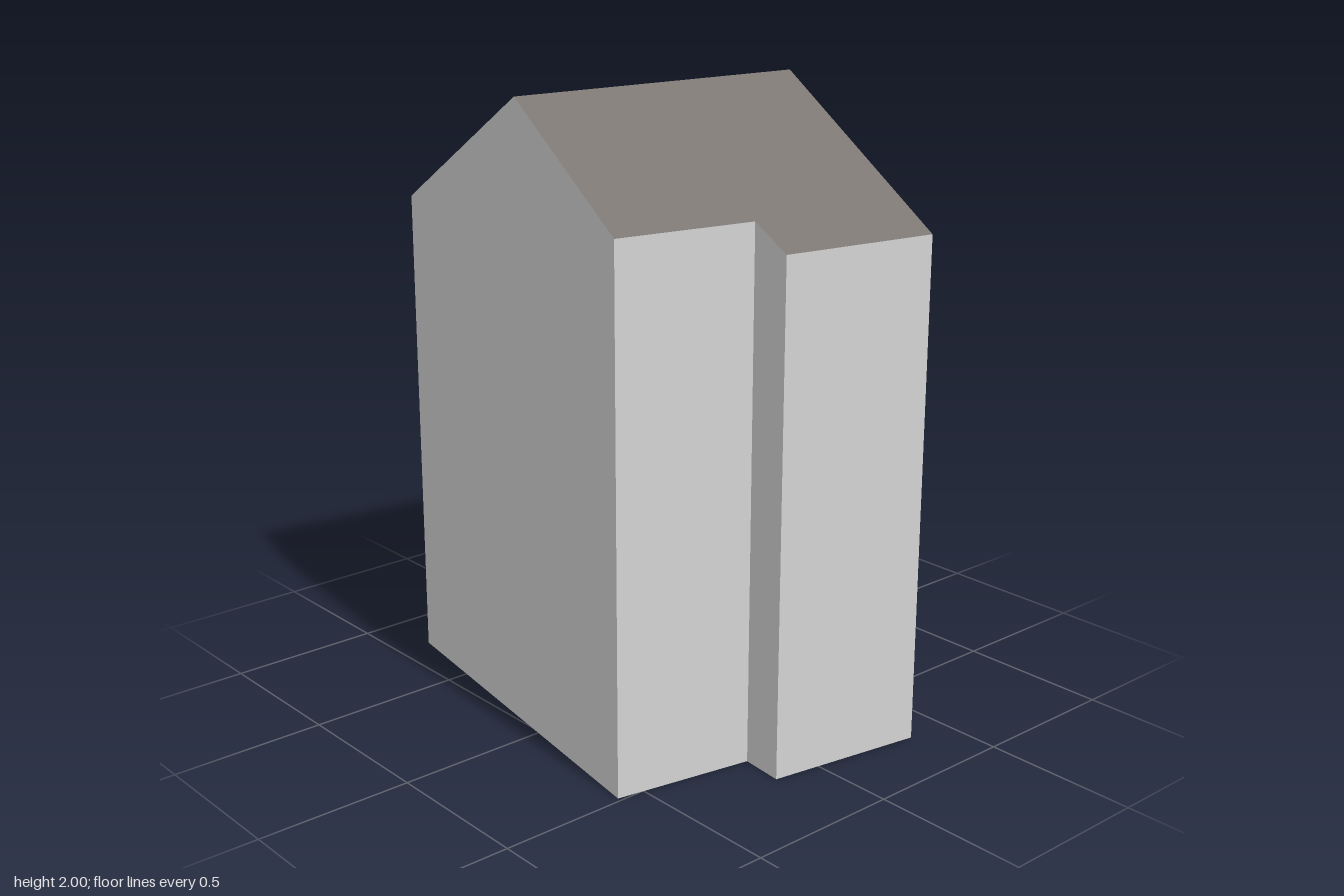
import * as THREE from 'three';

const wallPaint = new THREE.MeshStandardMaterial({ color: 0xd3d3d3 });
const roofBrown = new THREE.MeshStandardMaterial({ color: 0x7d7773 });
wallPaint.name = 'wallPaint';
roofBrown.name = 'roofBrown';

// Flat faces, each a loop of corners fanned from its first point
function facesMesh(name, loops, material) {
  const pos = [];
  for (const loop of loops)
    for (let i = 1; i < loop.length - 1; i++)
      for (const p of [loop[0], loop[i], loop[i + 1]]) pos.push(...p);
  const geo = new THREE.BufferGeometry();
  geo.setAttribute('position', new THREE.Float32BufferAttribute(pos, 3));
  geo.computeVertexNormals();
  const mesh = new THREE.Mesh(geo, material);
  mesh.name = name;
  return mesh;
}

export function createModel() {
  const group = new THREE.Group();
  group.name = 'gabledHouse';

  // Eave corners, anticlockwise from above, with a notch at the front
  const A = [-0.586, 1.675, 0.486], B = [-0.141, 1.675, 0.567];
  const C = [-0.154, 1.605, 0.707], D = [0.354, 1.605, 0.79];
  const E = [0.583, 1.595, -0.64], F = [-0.381, 1.58, -0.793];
  // Ridge ends
  const R1 = [-0.496, 1.988, -0.07], R2 = [0.467, 2, 0.081];
  const ground = (p) => [p[0], 0, p[2]];

  // Walls, with the ridge point added on the two gable ends
  const eaves = [A, B, C, D, E, F];
  const gables = new Map([[D, R2], [F, R1]]);
  const walls = eaves.map((p, i) => {
    const q = eaves[(i + 1) % eaves.length];
    const peak = gables.has(p) ? [gables.get(p)] : [];
    return [ground(p), ground(q), q, ...peak, p];
  });
  group.add(facesMesh('walls', walls, wallPaint));
  group.add(facesMesh('floor', [[B, A, F, E, D, C].map(ground)], wallPaint));

  // Roof slopes
  group.add(facesMesh('frontRoof', [[B, C, D, R2, R1, A]], roofBrown));
  group.add(facesMesh('backRoof', [[R1, R2, E, F]], roofBrown));

  // Round pale patches lying on the back slope
  const v = (p) => new THREE.Vector3(...p);
  const plane = new THREE.Plane().setFromCoplanarPoints(v(R1), v(R2), v(E));
  const n = plane.normal;
  for (const [name, x, z, r] of [['roofVent', 0.075, -0.117, 0.04], ['smallRoofVent', -0.082, -0.662, 0.016]]) {
    const disc = new THREE.Mesh(new THREE.CircleGeometry(r, 20), wallPaint);
    disc.name = name;
    disc.quaternion.setFromUnitVectors(new THREE.Vector3(0, 0, 1), n);
    disc.position.set(x, -(plane.constant + n.x * x + n.z * z) / n.y, z).addScaledVector(n, 0.003);
    group.add(disc);
  }
  return group;
}
